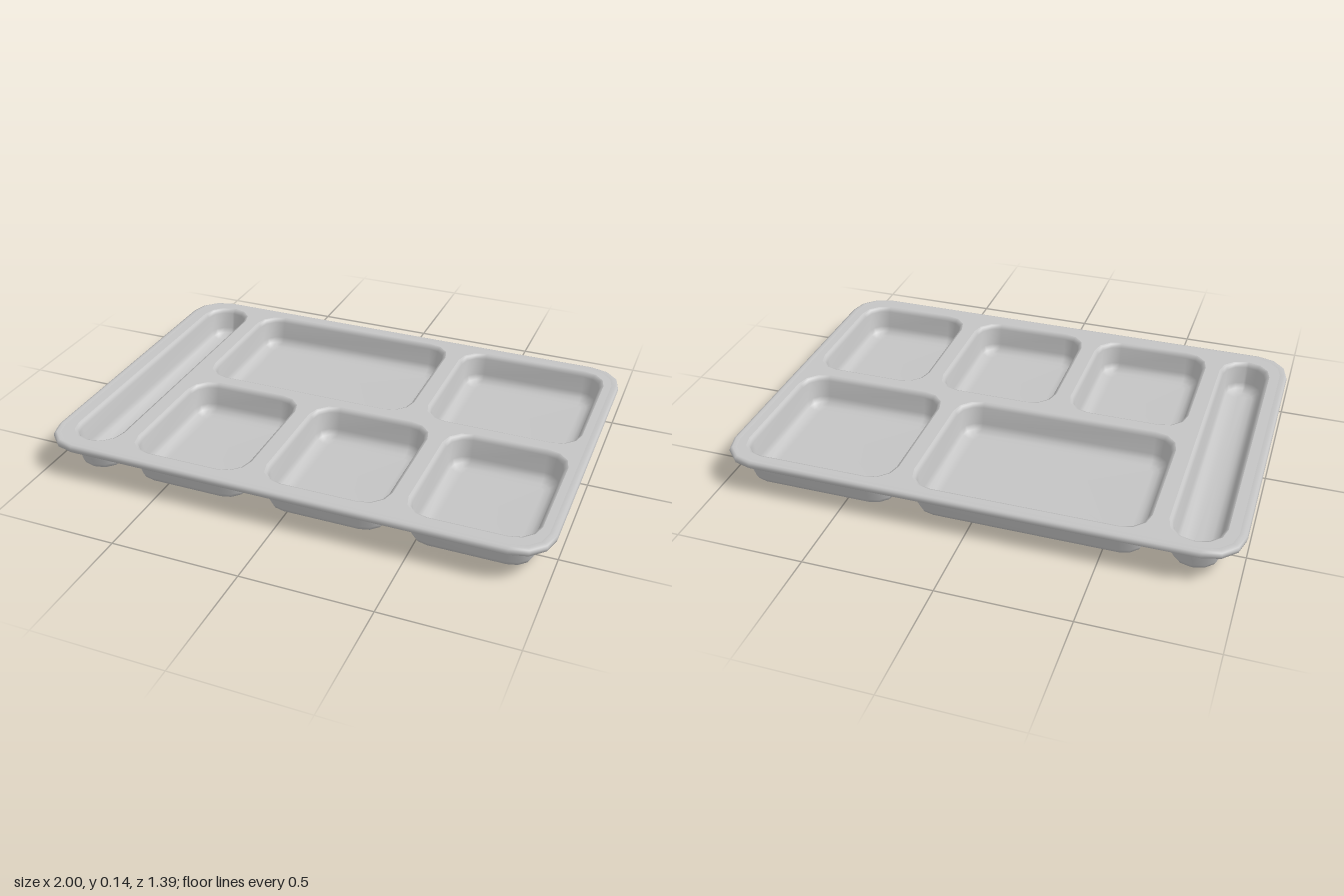
import * as THREE from 'three';

const TOP = 0.143, UNDER = 0.113, CORNER_STEPS = 3;

// Compartments: x0, x1, z0, z1
const cells = {
  cutleryCompartment: [-0.93, -0.72, -0.64, 0.625],
  mainCompartment: [-0.66, 0.25, -0.64, -0.02],
  backCompartment: [0.31, 0.94, -0.64, -0.02],
  frontRightCompartment: [-0.66, -0.17, 0.03, 0.625],
  frontMiddleCompartment: [-0.11, 0.39, 0.03, 0.625],
  frontLeftCompartment: [0.45, 0.94, 0.03, 0.625],
};
const CELL_R = 0.1;
const tray = [-1, 1, -0.695, 0.695];
const TRAY_R = 0.14;

// Profiles as [inset, y] pairs
const innerProfile = [[0, TOP], [0.009, 0.139], [0.017, 0.125], [0.028, 0.055], [0.038, 0.033], [0.06, 0.021], [0.085, 0.018]];
const outerProfile = [[-0.02, UNDER], [-0.009, 0.108], [-0.002, 0.094], [0.014, 0.025], [0.024, 0.007], [0.045, 0]];
const rimProfile = [[0.03, TOP], [0.014, 0.145], [0.004, 0.141], [0, 0.13], [0.003, 0.118], [0.012, UNDER], [0.03, UNDER]];

// Rounded rectangle points, shrunk by inset
function ring([x0, x1, z0, z1], radius, inset) {
  const r = Math.max(radius - inset, 0.015), pts = [];
  const cx = [x1, x0, x0, x1], cz = [z1, z1, z0, z0];
  const sx = [-1, 1, 1, -1], sz = [-1, -1, 1, 1];
  for (let q = 0; q < 4; q++) {
    for (let i = 0; i <= CORNER_STEPS; i++) {
      const a = (q + i / CORNER_STEPS) * Math.PI / 2;
      pts.push([cx[q] + sx[q] * (inset + r) + r * Math.cos(a),
        cz[q] + sz[q] * (inset + r) + r * Math.sin(a)]);
    }
  }
  return pts;
}

// Surface through a stack of rings, optionally closed by a flat floor
function loft(rect, radius, profile, flip, capped) {
  const pos = [], idx = [];
  const tri = (a, b, c) => (flip ? idx.push(a, b, c) : idx.push(a, c, b));
  const n = 4 * (CORNER_STEPS + 1);
  for (const [inset, y] of profile) {
    for (const [x, z] of ring(rect, radius, inset)) pos.push(x, y, z);
  }
  for (let i = 0; i < profile.length - 1; i++) {
    for (let j = 0; j < n; j++) {
      const a = i * n + j, b = i * n + (j + 1) % n;
      tri(a, b, a + n);
      tri(b, b + n, a + n);
    }
  }
  if (capped) {
    const last = (profile.length - 1) * n, centre = pos.length / 3;
    pos.push((rect[0] + rect[1]) / 2, profile[profile.length - 1][1], (rect[2] + rect[3]) / 2);
    for (let j = 0; j < n; j++) tri(last + j, last + (j + 1) % n, centre);
  }
  const g = new THREE.BufferGeometry();
  g.setAttribute('position', new THREE.Float32BufferAttribute(pos, 3));
  g.setIndex(idx);
  g.computeVertexNormals();
  return g;
}

// Flat sheet with an opening for each compartment
function sheet(y, cellInset, up) {
  const s = up ? -1 : 1;
  const toPts = (rect, r, inset) => ring(rect, r, inset).map(([x, z]) => new THREE.Vector2(x, s * z));
  const shape = new THREE.Shape(toPts(tray, TRAY_R, 0.03));
  for (const rect of Object.values(cells)) shape.holes.push(new THREE.Path(toPts(rect, CELL_R, cellInset)));
  return new THREE.ShapeGeometry(shape).rotateX(s * Math.PI / 2).translate(0, y, 0);
}

export function createModel() {
  const model = new THREE.Group();
  model.name = 'compartmentTray';
  const grey = new THREE.MeshStandardMaterial({ color: 0xc4c4c4 });
  grey.name = 'light grey';

  const add = (parent, name, geometry) => {
    const m = new THREE.Mesh(geometry, grey);
    m.name = name;
    parent.add(m);
  };

  // Deck between the compartments, and the rolled outer rim
  add(model, 'topDeck', sheet(TOP, 0, true));
  add(model, 'underDeck', sheet(UNDER, -0.02, false));
  add(model, 'rim', loft(tray, TRAY_R, rimProfile, true, false));

  // Each compartment has an inner basin and an outer shell
  for (const [name, rect] of Object.entries(cells)) {
    const cell = new THREE.Group();
    cell.name = name;
    add(cell, 'basin', loft(rect, CELL_R, innerProfile, false, true));
    add(cell, 'shell', loft(rect, CELL_R, outerProfile, true, true));
    model.add(cell);
  }
  return model;
}
